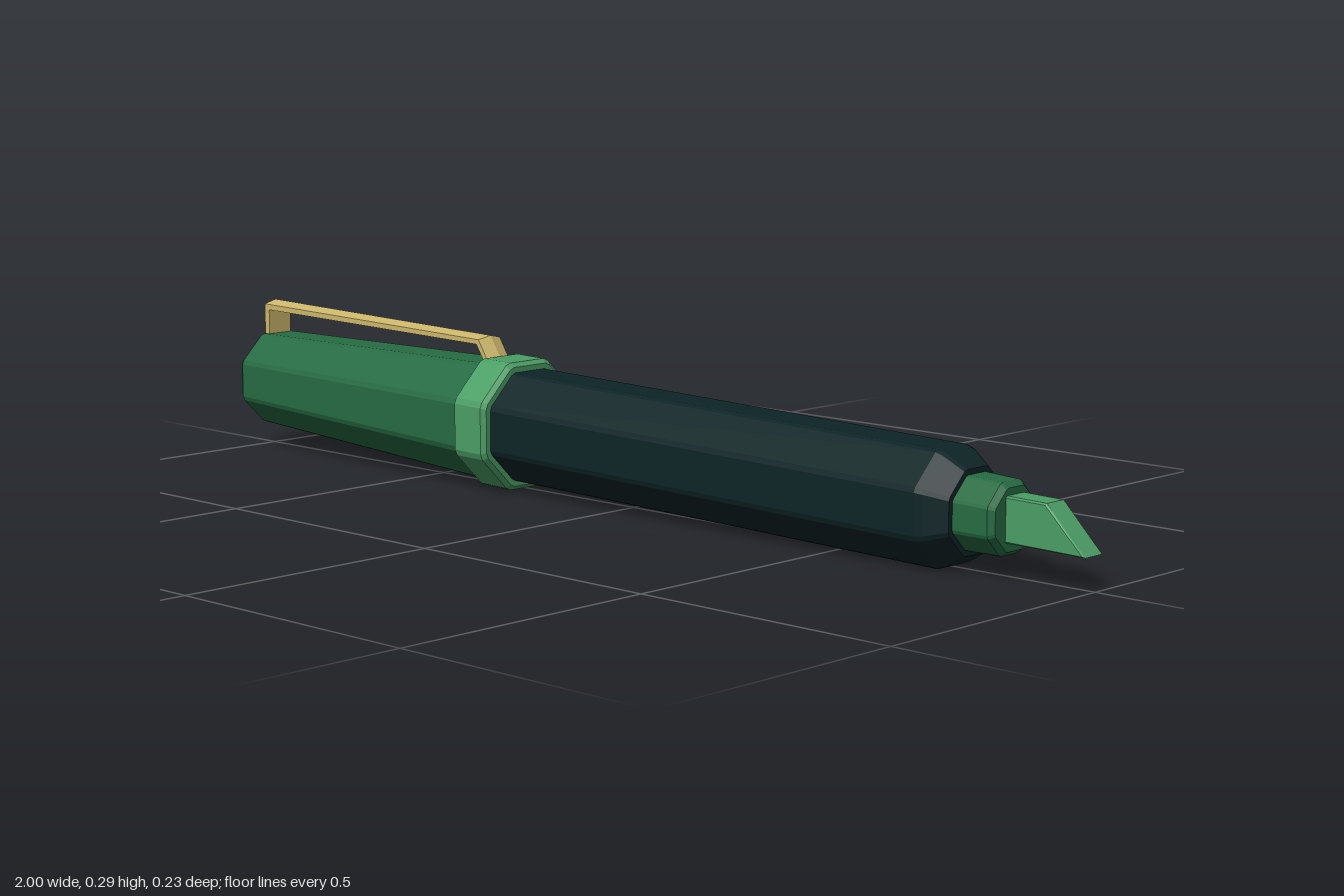
import * as THREE from 'three';

const material = (name, color, extra = {}) =>
  Object.assign(new THREE.MeshStandardMaterial({ color, flatShading: true, ...extra }), { name });

// Skins a run of equal-sized rings of [x, y, z] points and closes both ends.
function loft(rings) {
  const n = rings[0].length, index = [];
  for (let i = 0; i < rings.length - 1; i++) {
    for (let j = 0; j < n; j++) {
      const k = (j + 1) % n, a = i * n + j, b = i * n + k;
      index.push(a, a + n, b + n, a, b + n, b);
    }
  }
  const last = (rings.length - 1) * n;
  for (let j = 1; j < n - 1; j++) {
    index.push(0, j, j + 1, last, last + j + 1, last + j);
  }
  const geo = new THREE.BufferGeometry();
  geo.setAttribute('position', new THREE.Float32BufferAttribute(rings.flat(2), 3));
  geo.setIndex(index);
  const flat = geo.toNonIndexed();
  flat.computeVertexNormals();
  return flat;
}

// The pen lies with its axis tilted slightly down towards the nib.
const axisY = (x) => 0.114 - 0.0215 * x;

// Octagon ring with softened corners, given the distance to its flats.
function octagon(x, apothem) {
  const points = [];
  const half = apothem * Math.tan(Math.PI / 8) * 0.87;
  for (let i = 0; i < 8; i++) {
    const a = (i * Math.PI) / 4;
    for (const s of [-half, half]) {
      points.push([x,
        axisY(x) + apothem * Math.sin(a) + s * Math.cos(a),
        apothem * Math.cos(a) - s * Math.sin(a)]);
    }
  }
  return points;
}

export function createModel() {
  const group = new THREE.Group();
  const green = material('capGreen', 0x266b42);
  const light = material('lightGreen', 0x4c9e66);
  const dark = material('barrelDark', 0x0d2426);
  const gold = material('clipGold', 0xcdb76c);

  const add = (name, geometry, mat) => {
    const mesh = new THREE.Mesh(geometry, mat);
    mesh.name = name;
    group.add(mesh);
  };
  const turned = (name, mat, stations) =>
    add(name, loft(stations.map(([x, r]) => octagon(x, r))), mat);

  // Octagonal body parts: [x, distance to flats]
  turned('cap', green, [[-1, 0.08], [-0.988, 0.088], [-0.34, 0.108]]);
  turned('capBand', light, [[-0.347, 0.11], [-0.34, 0.1175], [-0.272, 0.1175], [-0.264, 0.11]]);
  turned('barrel', dark, [[-0.27, 0.1], [0.715, 0.098], [0.728, 0.094], [0.765, 0.071]]);
  turned('nibHolder', green, [[0.76, 0.062], [0.833, 0.06], [0.843, 0.052]]);

  // Chisel nib
  const side = new THREE.Shape([[0.835, 0.062], [0.992, 0.059], [0.919, 0.131], [0.835, 0.133]]
    .map(([x, y]) => new THREE.Vector2(x, y)));
  const nib = new THREE.ExtrudeGeometry(side, {
    depth: 0.044, bevelEnabled: true, bevelSize: 0.003, bevelThickness: 0.003, bevelSegments: 1,
  });
  nib.translate(0, 0, -0.022);
  add('nib', nib, light);

  // Clip: a folded strip with a shallow ridge along its middle
  const w = 0.027;
  // outer x, outer y, inner x, inner y, ridge x, ridge y
  const folds = [
    [-0.99, 0.2, -0.977, 0.2, 0, 0],
    [-0.99, 0.282, -0.977, 0.271, 0, 0.007],
    [-0.372, 0.269, -0.378, 0.26, 0.004, 0.006],
    [-0.341, 0.222, -0.352, 0.222, 0.006, 0.004],
  ];
  add('clip', loft(folds.map(([ox, oy, ix, iy, rx, ry]) => [
    [ix + rx, iy + ry, 0], [ix, iy, w], [ox, oy, w],
    [ox + rx, oy + ry, 0], [ox, oy, -w], [ix, iy, -w],
  ])), gold);

  return group;
}
